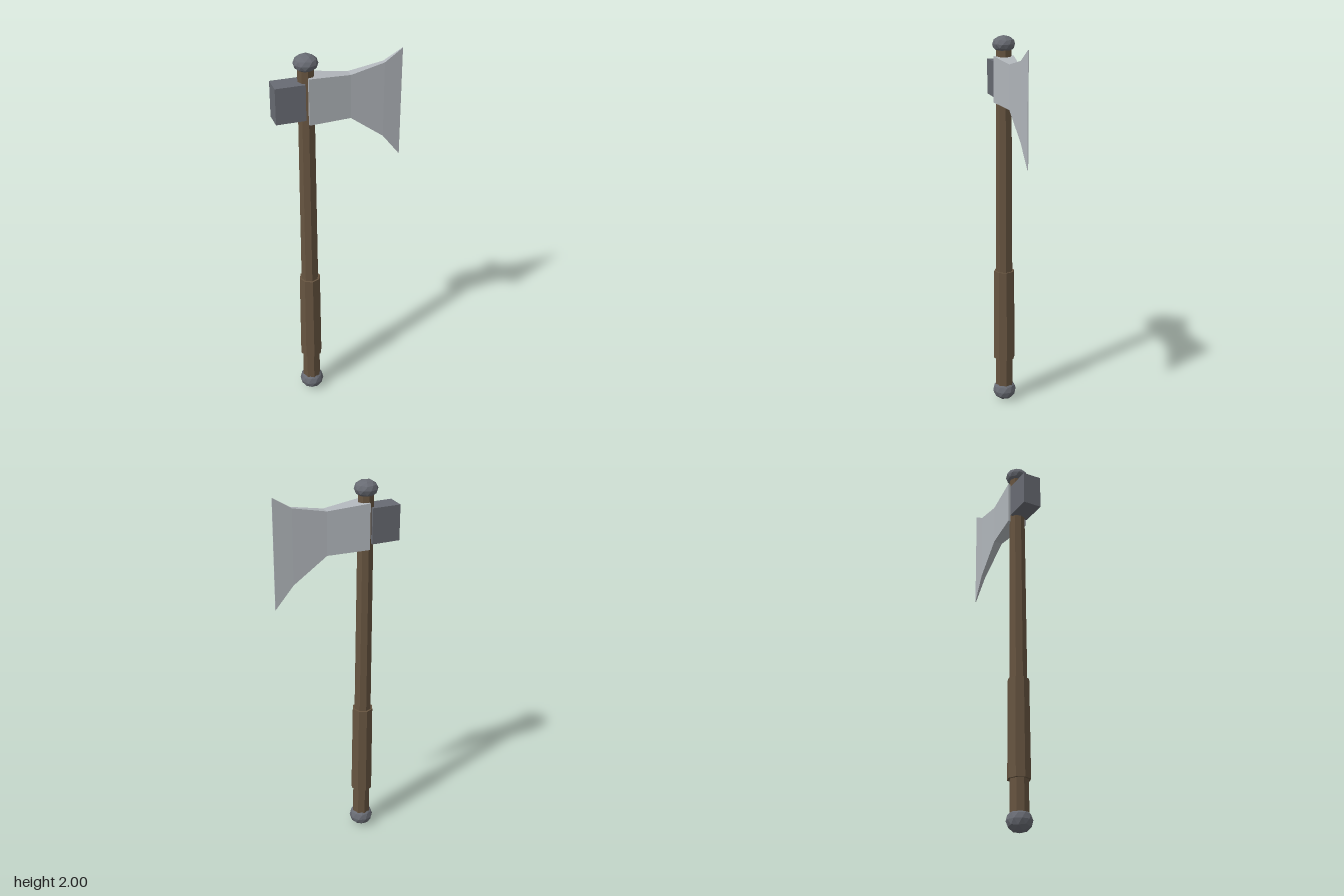
import * as THREE from 'three';

const AXIS_X = -0.157; // centre line of the handle

const steel = new THREE.MeshStandardMaterial({ name: 'lightSteel', color: 0xb2b7bc, flatShading: true });
const iron = new THREE.MeshStandardMaterial({ name: 'darkIron', color: 0x686b73, flatShading: true });
const wood = new THREE.MeshStandardMaterial({ name: 'brownWood', color: 0x665440, flatShading: true });

function add(group, name, geometry, material, x, y) {
  const mesh = new THREE.Mesh(geometry, material);
  mesh.name = name;
  mesh.position.set(x, y, 0);
  group.add(mesh);
}

// Eight-sided tapered rod between two heights
function addRod(group, name, r0, r1, y0, y1) {
  add(group, name, new THREE.CylinderGeometry(r1, r0, y1 - y0, 8), wood, AXIS_X, (y0 + y1) / 2);
}

// Faceted ball with a corner at each pole
function ball(r, ry) {
  const g = new THREE.IcosahedronGeometry(1, 1);
  g.rotateX(-Math.atan((1 + Math.sqrt(5)) / 2));
  g.rotateY(Math.PI / 2);
  return g.scale(r, ry, r);
}

// Loft of rectangular sections along x: [x, bottom, top, half thickness]
function bladeGeometry(sections) {
  const pos = [];
  const idx = [];
  for (const [x, y0, y1, t] of sections) {
    pos.push(x, y0, t, x, y1, t, x, y1, -t, x, y0, -t);
  }
  for (let s = 0; s < sections.length - 1; s++) {
    for (let k = 0; k < 4; k++) {
      const a = s * 4 + k;
      const b = s * 4 + ((k + 1) % 4);
      idx.push(a, a + 4, b + 4, a, b + 4, b);
    }
  }
  const e = (sections.length - 1) * 4;
  idx.push(0, 1, 2, 0, 2, 3, e, e + 2, e + 1, e, e + 3, e + 2);
  const g = new THREE.BufferGeometry();
  g.setAttribute('position', new THREE.Float32BufferAttribute(pos, 3));
  g.setIndex(idx);
  const flat = g.toNonIndexed();
  flat.computeVertexNormals();
  return flat;
}

export function createModel() {
  const axe = new THREE.Group();
  axe.name = 'axe';

  // Handle and thicker grip
  addRod(axe, 'handle', 0.048, 0.04, 0.05, 1.95);
  addRod(axe, 'grip', 0.058, 0.055, 0.255, 0.76);

  // Metal balls at both ends
  add(axe, 'pommel', ball(0.064, 0.057), iron, AXIS_X, 0.06);
  add(axe, 'topCap', ball(0.059, 0.043), iron, AXIS_X, 1.957);

  // Hammer block behind the blade
  add(axe, 'hammerBlock', new THREE.BoxGeometry(0.146, 0.18, 0.098), iron, -0.245, 1.78);

  // Flaring blade that thins toward its edge
  const sections = [
    [-0.158, 1.665, 1.897, 0.053],
    [0.055, 1.658, 1.878, 0.024],
    [0.225, 1.53, 1.912, 0.012],
    [0.317, 1.412, 1.97, 0.002],
  ];
  add(axe, 'blade', bladeGeometry(sections), steel, 0, 0);

  return axe;
}
